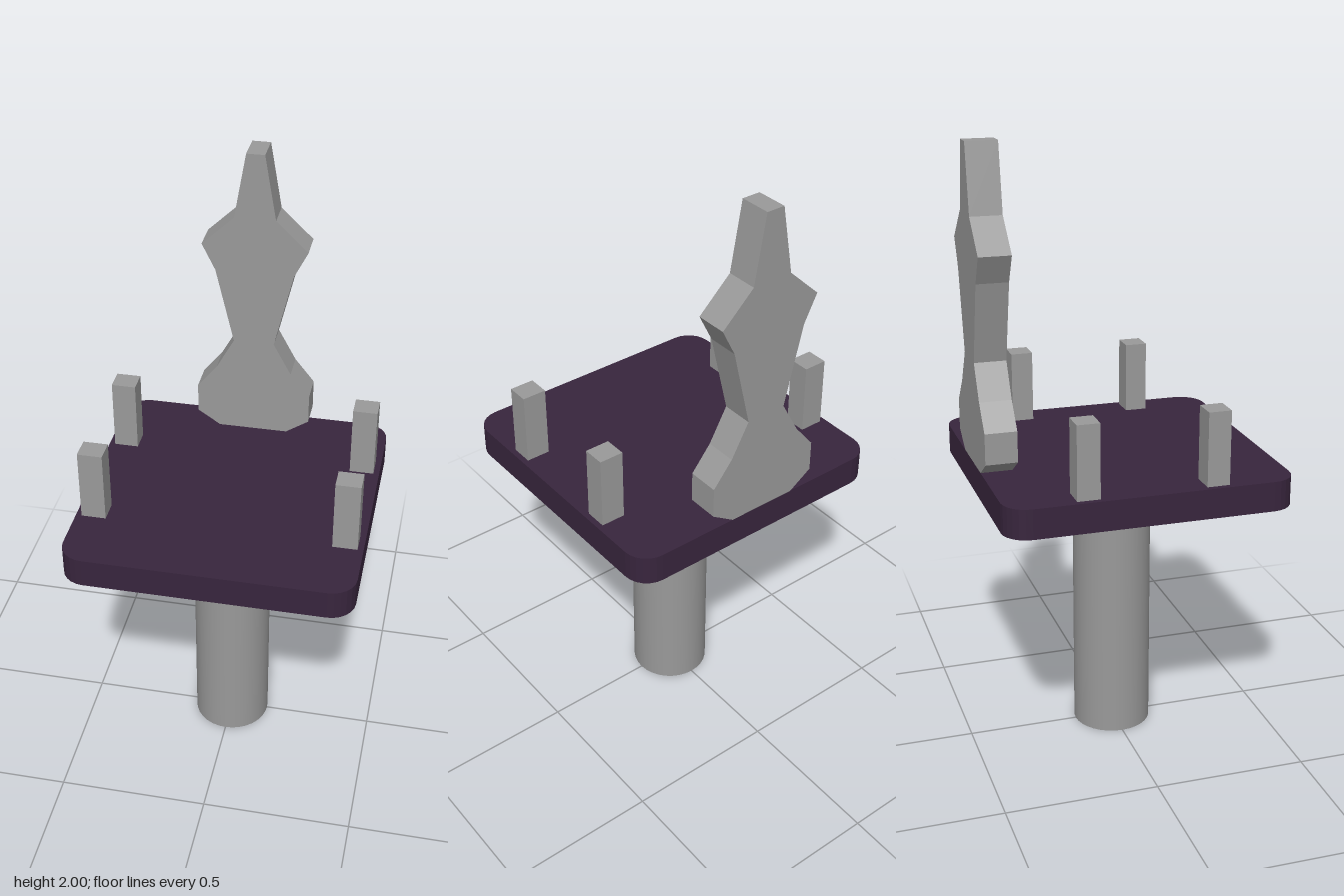
import * as THREE from 'three';

export function createModel() {
  const model = new THREE.Group();
  const grey = new THREE.MeshStandardMaterial({ color: 0x999999 });
  grey.name = 'grey metal';
  const purple = new THREE.MeshStandardMaterial({ color: 0x38253d });
  purple.name = 'dark purple';

  const add = (name, geometry, material, x, y, z) => {
    const mesh = new THREE.Mesh(geometry, material);
    mesh.name = name;
    mesh.position.set(x, y, z);
    model.add(mesh);
    return mesh;
  };

  // Round pedestal under the seat
  add('pedestal', new THREE.CylinderGeometry(0.13, 0.13, 0.89, 32), grey, 0, 0.445, 0);

  // Square seat with rounded corners, drawn flat and laid down
  const h = 0.465, r = 0.08, c = h - r;
  const outline = new THREE.Shape();
  outline.absarc(c, c, r, 0, Math.PI / 2);
  outline.absarc(-c, c, r, Math.PI / 2, Math.PI);
  outline.absarc(-c, -c, r, Math.PI, Math.PI * 1.5);
  outline.absarc(c, -c, r, Math.PI * 1.5, Math.PI * 2);
  outline.closePath();
  const seat = new THREE.ExtrudeGeometry(outline, { depth: 0.097, bevelEnabled: false, curveSegments: 3 });
  seat.rotateX(-Math.PI / 2);
  add('seat', seat, purple, 0, 0.889, 0);

  // Four armrest posts
  for (const x of [-0.406, 0.406]) {
    for (const z of [-0.208, 0.205]) {
      add('armrestPost', new THREE.BoxGeometry(0.08, 0.239, 0.073), grey, x, 1.1055, z);
    }
  }

  // Pointed backrest: mirrored half profile, from foot to tip
  const half = [
    [0.117, 0.986], [0.194, 1.037], [0.194, 1.138], [0.128, 1.22], [0.068, 1.33],
    [0.13, 1.59], [0.175, 1.68], [0.068, 1.782], [0.03, 2],
  ];
  const profile = [...half, ...half.map(([x, y]) => [-x, y]).reverse()];
  const shape = new THREE.Shape(profile.map(([x, y]) => new THREE.Vector2(x, y)));
  const back = new THREE.ExtrudeGeometry(shape, { depth: 0.103, bevelEnabled: false });
  add('backrest', back, grey, 0, 0, -0.465);

  return model;
}
